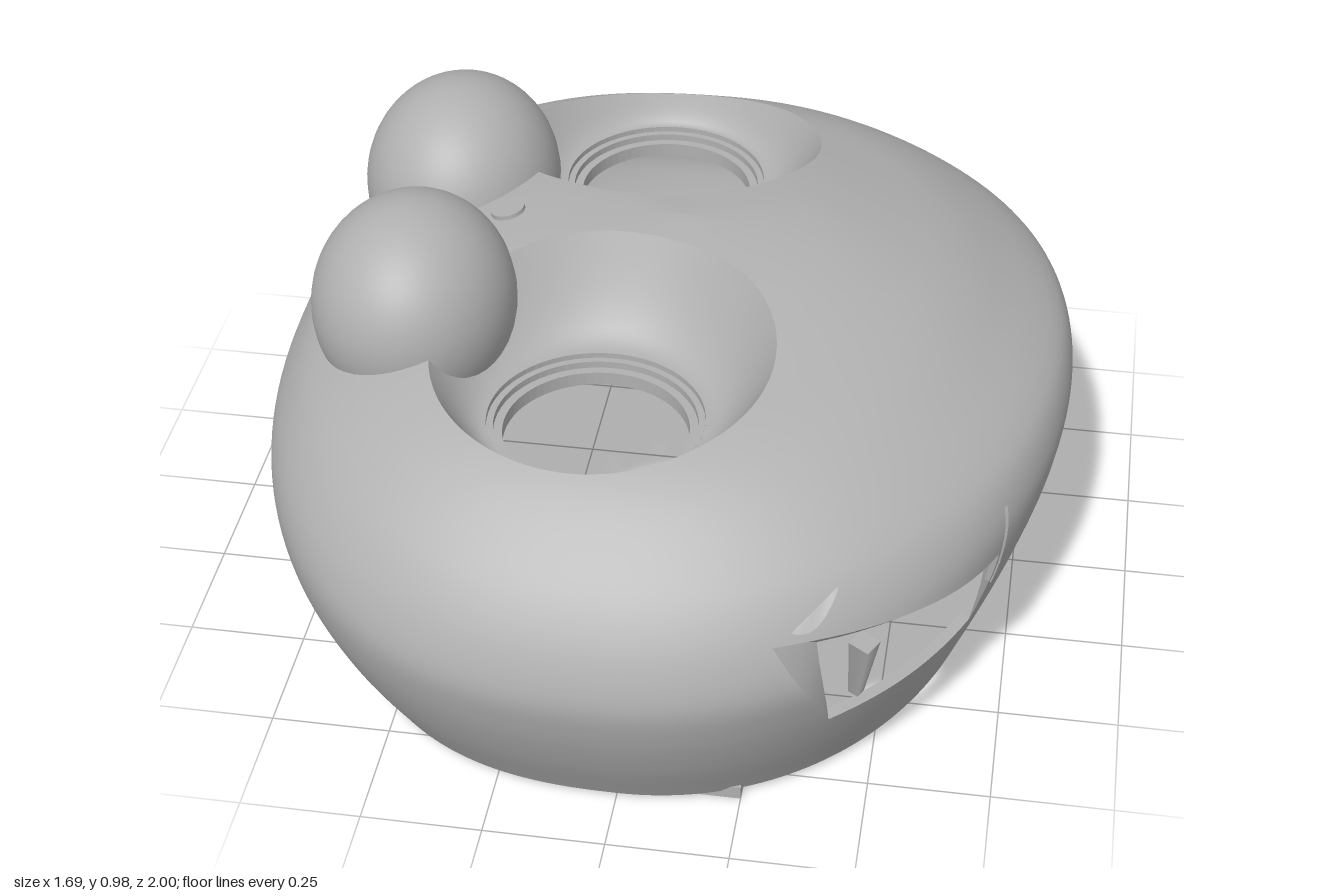
import * as THREE from 'three';
import { mergeGeometries, mergeVertices } from 'three/addons/utils/BufferGeometryUtils.js';

const RAD = Math.PI / 180;
const curve = pts => new THREE.CatmullRomCurve3(pts.map(([r, y]) => new THREE.Vector3(r, y, 0)));
// Shell profiles (radius, height) from crown to bottom rim, in three directions
const profRight = curve([[0, .85], [.3, .838], [.5, .788], [.6, .748], [.7, .692], [.78, .642], [.82, .6], [.84, .53], [.832, .45], [.8, .33], [.75, .18], [.69, .015]]);
const profLeft = curve([[0, .85], [.3, .835], [.5, .785], [.6, .745], [.7, .69], [.765, .64], [.805, .585], [.835, .52], [.845, .45], [.83, .33], [.76, .14], [.69, .015]]);
const profSide = curve([[0, .85], [.3, .818], [.5, .778], [.65, .738], [.75, .69], [.85, .612], [.92, .54], [.975, .45], [1, .36], [.985, .27], [.94, .15], [.87, .015]]);

// Plan exponent: the left end is squarer than the right
const plan = x => (x >= 0 ? 2.05 : 2.5);
const gauss = d => Math.exp(-d * d / 2);

// Point on the shell: angle from +x towards +z, k = profile index 0..11
function shell(deg, k, inset = 1) {
  const c = Math.cos(deg * RAD), s = Math.sin(deg * RAD), e = 2 / plan(c);
  const px = (c >= 0 ? profRight : profLeft).getPoint(k / 11), pz = profSide.getPoint(k / 11);
  return new THREE.Vector3(
    px.x * Math.sign(c) * Math.abs(c) ** e * inset,
    px.y * c * c + pz.y * s * s,
    pz.x * Math.sign(s) * Math.abs(s) ** e * inset);
}

// Height of the upper shell above (x, z)
function height(x, z) {
  let lo = 1e-4, hi = .6, y = .85;
  const n = plan(x);
  for (let i = 0; i < 28; i++) {
    const t = (lo + hi) / 2;
    const px = (x >= 0 ? profRight : profLeft).getPoint(t), pz = profSide.getPoint(t);
    const a = Math.abs(x / px.x) ** n, b = Math.abs(z / pz.x) ** n;
    if (a + b > 1) lo = t; else hi = t;
    if (a + b > 1e-9) y = (px.y * a + pz.y * b) / (a + b);
  }
  return y;
}

// Surface from a grid of points; keep() can leave cells out
function grid(nu, nv, f, flip = false, keep = () => true) {
  const pos = [], idx = [];
  for (let j = 0; j <= nv; j++) for (let i = 0; i <= nu; i++) pos.push(...f(i, j).toArray());
  for (let j = 0; j < nv; j++) for (let i = 0; i < nu; i++) {
    if (!keep(i, j)) continue;
    const a = j * (nu + 1) + i, b = a + 1, c = a + nu + 1, d = c + 1;
    idx.push(...(flip ? [a, c, b, b, c, d] : [a, b, c, b, d, c]));
  }
  const g = new THREE.BufferGeometry();
  g.setAttribute('position', new THREE.Float32BufferAttribute(pos, 3));
  g.setIndex(idx);
  g.computeVertexNormals();
  return g;
}

// Shell point with columns and rows slanted to follow the window edges
function slanted(deg, k, inset = 1) {
  const a = Math.abs(deg), w = Math.max(0, 1 - Math.abs(k - 7.25) / 2.25);
  const turn = 10.5 * w * gauss((a - 58) / 10);
  const drop = w * (.6 * gauss((a - 30) / 10) - .45 * gauss((a - 58) / 10));
  const low = -.12 * gauss((a - 58) / 10) * Math.max(0, 1 - Math.abs(k - 9.5) / 1.5);
  return shell(Math.sign(deg) * (a + turn), k + drop + low, inset);
}

export function createModel() {
  const model = new THREE.Group();
  const grey = new THREE.MeshStandardMaterial({ color: 0xb0b0b0, side: THREE.DoubleSide });
  grey.name = 'plain grey';
  const add = (name, geo, x = 0, y = 0, z = 0) => {
    const m = new THREE.Mesh(geo, grey);
    m.name = name;
    m.position.set(x, y, z);
    model.add(m);
    return m;
  };

  // Lower shell, with two windows and a notch in the rim
  const skirt = grid(180, 40, (i, j) => slanted(-180 + 2 * i, 5 + j * .15), false, (i, j) => {
    const a = Math.abs(-179 + 2 * i);
    const window = a > 30 && a < 58 && j >= 15 && j < 30;
    const notch = a > 164 && j >= 34;
    return !window && !notch;
  });

  // Outline of one half of the upper shell: arc, then the centre line
  const outline = [];
  for (let i = 0; i <= 90; i++) outline.push(shell(2 * i, 5));
  for (let i = 1; i <= 60; i++) outline.push(new THREE.Vector3(-.765 + 1.545 * i / 60, 0, 0));
  const N = outline.length - 1, cx = -.1, cz = .395, rx = .35, rz = .322;
  const rimDir = i => {
    const a = (outline[i].x - cx) / rx, b = (outline[i].z - cz) / rz, l = Math.hypot(a, b);
    return [a / l, b / l];
  };

  // Upper shell around each dish, and the dish itself
  const caps = [];
  for (const s of [1, -1]) {
    caps.push(grid(N, 18, (i, j) => {
      const [a, b] = rimDir(i), v = j / 18;
      const x = THREE.MathUtils.lerp(cx + a * rx, outline[i].x, v);
      const z = THREE.MathUtils.lerp(cz + b * rz, outline[i].z, v);
      return new THREE.Vector3(x, height(x, z), z * s);
    }, s < 0));
    add('dish', mergeVertices(grid(N, 14, (i, j) => {
      const [a, b] = rimDir(i), v = j / 14;
      const x0 = cx + a * rx, z0 = cz + b * rz;
      const x = THREE.MathUtils.lerp(x0, -.105 + a * .222, v);
      const z = THREE.MathUtils.lerp(z0, .452 + b * .222, v);
      return new THREE.Vector3(x, THREE.MathUtils.lerp(height(x0, z0), .642, Math.sin(v * Math.PI / 2)), z * s);
    }, s > 0).deleteAttribute('normal'), 1e-4)).geometry.computeVertexNormals();

    // Stepped ring in the bottom of the dish
    const ring = [[.222, .642], [.222, .63], [.208, .63], [.208, .615], [.19, .615], [.19, .585], [.222, .585], [.222, .63]];
    const ringGeo = new THREE.LatheGeometry(ring.map(p => new THREE.Vector2(...p)), 64).toNonIndexed();
    ringGeo.computeVertexNormals();
    add('dishRing', ringGeo, -.105, 0, .452 * s);

    // Ball
    add('ball', new THREE.SphereGeometry(1, 48, 32), -.522, .745, .24 * s).scale.set(.212, .23, .236);

    // Window surround: tapering cheek, visor, sill, corner fin and barb
    add('windowCheek', grid(4, 10, (i, j) => {
      const taper = i * (1 - j / 10);
      return slanted(s * (58 - taper * 1.5), 7.25 + j * .225, 1 - taper * .022);
    }, s > 0));
    add('windowVisor', grid(14, 3, (i, j) => {
      const p = slanted(s * (31 + i * 1.9), 7.25, .985 - j * .012);
      p.y -= j * .017;
      return p;
    }, s < 0));
    add('windowSill', grid(14, 1, (i, j) => slanted(s * (30 + i * 2), 9.5, 1 - j * .03), s < 0));
    add('windowFin', grid(1, 8, (i, j) =>
      shell(s * (29.5 + i * 2.5 * (1 - j / 8)), 6.6 + j * .26, 1.004 - i * .02), s < 0));
    add('windowBarb', grid(1, 6, (i, j) =>
      shell(s * (66 - j * 1.1), 6.55 - j * .1 + i * .3 * Math.sin(j / 6 * Math.PI), 1.005 + i * .008), s > 0));
    const post = add('windowPost', new THREE.CylinderGeometry(.032, .016, .14, 4), .475, .34, .775 * s);
    post.rotation.set(.1 * s, .3 * s, -.1);

    // Mounting bar under the shell, carried by a foot at the rim
    add('mountingBar', new THREE.BoxGeometry(.12, .09, .53), .05, .2, .585 * s);
    const footX = s > 0 ? .205 : -.075;
    add('mountingFoot', new THREE.BoxGeometry(.09, .03, .075), footX, .015, .795 * s);
    add('footPillar', new THREE.BoxGeometry(.07, .16, .06), footX, .1, .79 * s);
    add('footLink', new THREE.BoxGeometry(Math.abs(footX - .05), .05, .06), (footX + .05) / 2, .18, .79 * s);
  }
  add('shell', mergeVertices(mergeGeometries([skirt, ...caps].map(g => g.deleteAttribute('normal'))), 1e-4))
    .geometry.computeVertexNormals();

  // Small cap between the balls
  add('topButton', new THREE.CylinderGeometry(.037, .037, .03, 32), -.37, height(-.37, 0) - .006, 0)
    .rotation.z = .2;
  return model;
}
